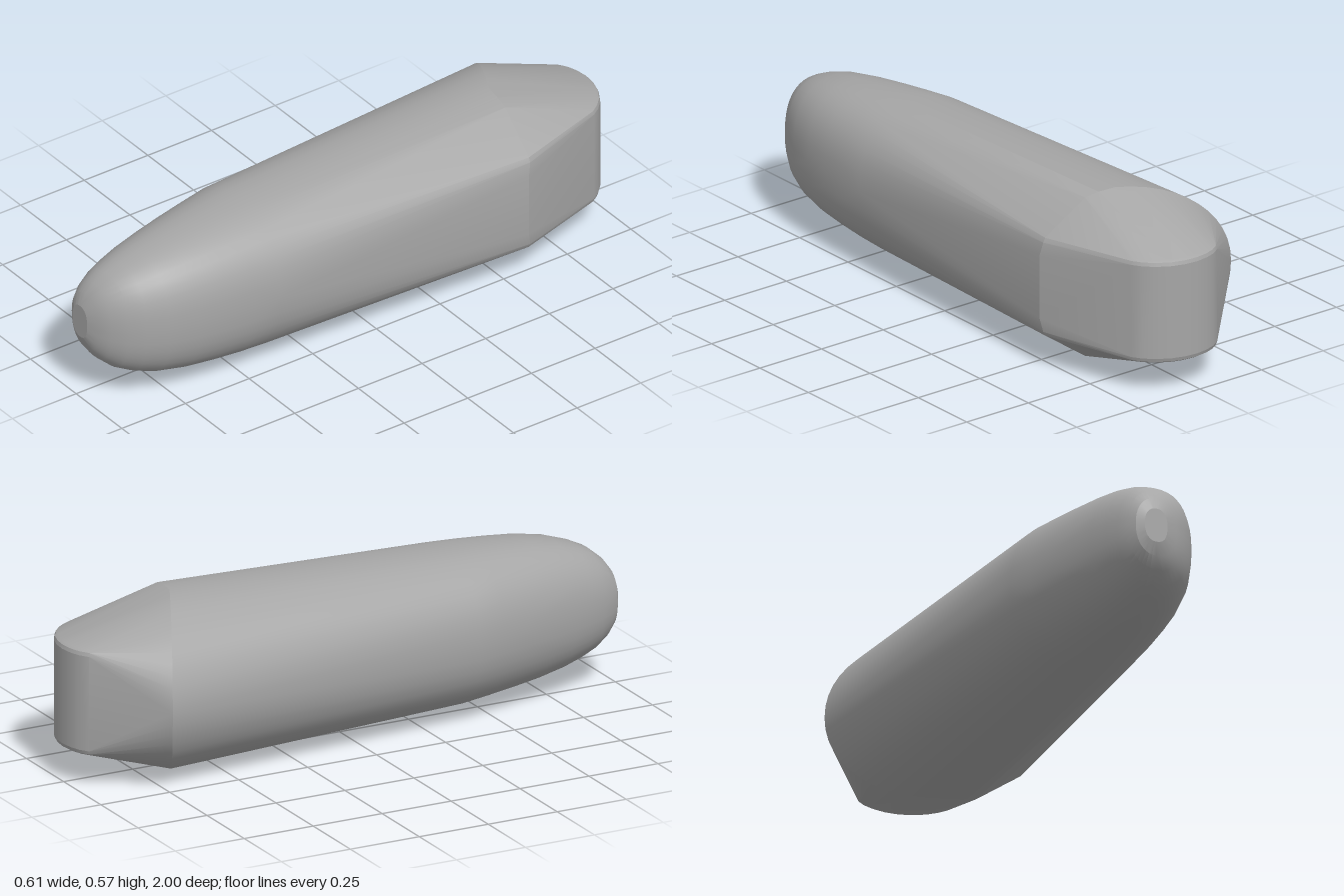
import * as THREE from 'three';
import { toCreasedNormals } from 'three/addons/utils/BufferGeometryUtils.js';
import { ConvexGeometry } from 'three/addons/geometries/ConvexGeometry.js';

const MID = 0.288; // height of the horizontal mirror plane

// Point on a lopsided superellipse: separate reach and squareness per side
function ovalPoint(a, cx, left, right, half, nLeft, nRight) {
  const c = Math.cos(a), s = Math.sin(a);
  const n = c > 0 ? nRight : nLeft;
  const reach = c > 0 ? right - cx : cx - left;
  return [
    cx + Math.sign(c) * reach * Math.abs(c) ** (2 / n),
    MID + Math.sign(s) * half * Math.abs(s) ** (2 / n),
  ];
}

export function createModel() {
  const grey = new THREE.MeshStandardMaterial({ color: 0xa6a6a6 });
  grey.name = 'grey';
  const points = [];
  const add = (x, y, z) => points.push(new THREE.Vector3(x, y, z));
  const addMirrored = (x, h, z) => { add(x, MID + h, z); add(x, MID - h, z); };

  // Rounded nose sections: z, left x, right x, half height
  const sections = [
    [0.4, -0.21, 0.284, 0.257],
    [0.5, -0.188, 0.279, 0.251],
    [0.6, -0.165, 0.27, 0.243],
    [0.7, -0.14, 0.257, 0.233],
    [0.8, -0.115, 0.235, 0.215],
    [0.87, -0.095, 0.207, 0.193],
    [0.92, -0.079, 0.176, 0.17],
    [0.96, -0.062, 0.137, 0.136],
    [0.985, -0.045, 0.1, 0.1],
    [1.0, -0.02, 0.06, 0.058],
  ];
  const STEPS = 40;
  for (const [z, left, right, half] of sections) {
    const cx = left + (right - left) * 0.5;
    for (let i = 0; i < STEPS; i++) {
      const a = (i / STEPS) * Math.PI * 2;
      add(...ovalPoint(a, cx, left, right, half, 2.25, 2.5), z);
    }
  }

  // Slanted rear rim, smooth on the right-hand side of the model
  for (let i = 0; i <= 24; i++) {
    const a = Math.PI * (0.5 + i / 24);
    const [x, y] = ovalPoint(a, 0.03, -0.307, 0.3, 0.287, 2.1, 2.5);
    add(x, y, -0.6 - 0.17 * (0.03 - x) / 0.337);
  }

  // Angular shoulders on the other side
  addMirrored(0.09, 0.284, -0.591);
  addMirrored(0.14, 0.275, -0.585);
  addMirrored(0.29, 0.17, -0.57);
  addMirrored(0.298, 0.155, -0.57);
  addMirrored(0.305, 0.11, -0.56);

  // Upright rounded tail wall with a small softened edge
  const tail = [
    [0.205, -0.86], [0.195, -0.895], [0.175, -0.925], [0.145, -0.955], [0.1, -0.982],
    [0.055, -0.996], [0.01, -1], [-0.035, -0.994], [-0.07, -0.982], [-0.1, -0.962],
  ];
  for (const [x, z] of tail) {
    addMirrored(x, 0.16, z);
    const k = 0.98;
    addMirrored(0.03 + (x - 0.03) * k, 0.172, -0.8 + (z + 0.8) * k);
    addMirrored(0.03 + (x - 0.03) * 0.93, 0.178, -0.8 + (z + 0.8) * 0.93);
  }

  const body = new THREE.Mesh(toCreasedNormals(new ConvexGeometry(points), 0.3), grey);
  body.name = 'body';
  const group = new THREE.Group();
  group.name = 'taperedBlock';
  group.add(body);
  return group;
}
